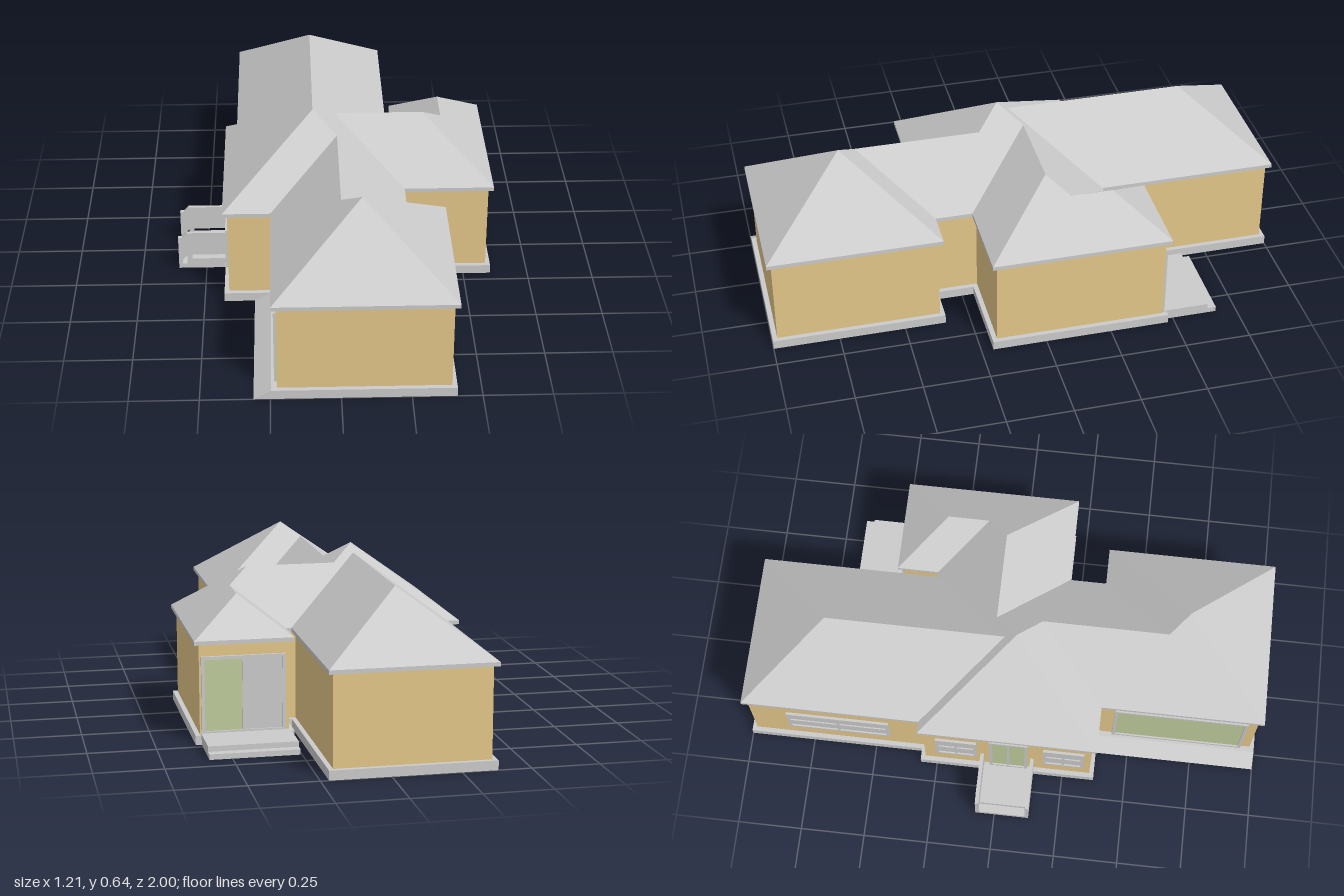
import * as THREE from 'three';

const EAVE = 0.385, PITCH = 0.737;
const mat = (color) => new THREE.MeshStandardMaterial({ color, side: THREE.DoubleSide, flatShading: true });
const grey = mat(0xcccccc), tan = mat(0xe5c88a), green = mat(0xc0cc9c);

// eave outline as [x, z], interior on the +90 degree side of each edge
const OUTLINE = [
  [-0.38, -1], [0.22, -1], [0.22, -0.315], [0.24, -0.315], [0.24, -0.475], [0.605, -0.475],
  [0.605, 0.205], [0.265, 0.205], [0.265, 0.345], [0.41, 0.345], [0.41, 1], [-0.245, 1],
  [-0.245, 0.375], [-0.425, 0.375], [-0.425, -0.315], [-0.38, -0.315],
];

// move every side of the rectilinear outline inwards by d
function inset(d) {
  const n = OUTLINE.length;
  return OUTLINE.map(([x, z], i) => {
    const [px, pz] = OUTLINE[(i + n - 1) % n], [nx, nz] = OUTLINE[(i + 1) % n];
    const ix = -Math.sign(z - pz) - Math.sign(nz - z);
    const iz = Math.sign(x - px) + Math.sign(nx - x);
    return [x + ix * d, z + iz * d];
  });
}

function mesh(name, geometry, material = grey) {
  const m = new THREE.Mesh(geometry, material);
  m.name = name;
  return m;
}

function box(name, x0, x1, y0, y1, z0, z1, material) {
  const g = new THREE.BoxGeometry(x1 - x0, y1 - y0, z1 - z0);
  g.translate((x0 + x1) / 2, (y0 + y1) / 2, (z0 + z1) / 2);
  return mesh(name, g, material);
}

const flat = (pts) => pts.map(([x, z]) => new THREE.Vector2(x, -z));
const upright = (pts) => pts.map(([x, y]) => new THREE.Vector2(x, y));

// hollow band that follows the outline
function ring(name, outer, inner, y0, y1, material) {
  const s = new THREE.Shape(flat(inset(outer)));
  s.holes.push(new THREE.Path(flat(inset(inner))));
  const g = new THREE.ExtrudeGeometry(s, { depth: y1 - y0, bevelEnabled: false });
  g.rotateX(-Math.PI / 2);
  g.translate(0, y0, 0);
  return mesh(name, g, material);
}

// roof planes: run from the eave line, then the corners as [x, z]
const P = [-0.08, 0.03], PF = [0.0825, 0.6725];
const C0 = [0.01, 0.12], C1 = [0.01, 0.6], D0 = [0.005, -0.055], D1 = [0.345, -0.055];
const E0 = [0.4225, -0.1325], E1 = [0.4225, -0.2925], A0 = [-0.08, -0.7], A1 = [-0.08, -0.015];
const ROOF = [
  [(x, z) => z + 1, [[-0.38, -1], [0.22, -1], A0]],
  [(x) => x + 0.38, [[-0.38, -1], A0, A1, [-0.38, -0.315]]],
  [(x) => 0.22 - x, [[0.22, -1], A0, A1, [0.22, -0.315]]],
  [(x, z) => z + 0.315, [[-0.425, -0.315], [-0.38, -0.315], A1, [0.22, -0.315], [0.24, -0.315], E0, D1, D0, P]],
  [(x) => x + 0.425, [[-0.425, -0.315], P, [-0.425, 0.375]]],
  [(x, z) => 0.375 - z, [[-0.425, 0.375], P, C0, [-0.245, 0.375]]],
  [(x) => 0.265 - x, [P, C0, C1, [0.265, 0.345], [0.265, 0.205], D0]],
  [(x, z) => 0.205 - z, [[0.265, 0.205], [0.605, 0.205], D1, D0]],
  [(x) => 0.605 - x, [[0.605, 0.205], [0.605, -0.475], E1, E0, D1]],
  [(x, z) => z + 0.475, [[0.24, -0.475], [0.605, -0.475], E1]],
  [(x) => x - 0.24, [[0.24, -0.475], E1, E0, [0.24, -0.315]]],
  [(x) => x + 0.245, [[-0.245, 0.375], C0, C1, PF, [-0.245, 1]]],
  [(x, z) => z - 0.345, [[0.265, 0.345], [0.41, 0.345], PF, C1]],
  [(x) => 0.41 - x, [[0.41, 0.345], [0.41, 1], PF]],
  [(x, z) => 1 - z, [[-0.245, 1], [0.41, 1], PF]],
];

function roof() {
  const pos = [];
  for (const [run, pts] of ROOF) {
    const v = pts.map(([x, z]) => new THREE.Vector2(x, z));
    for (const t of THREE.ShapeUtils.triangulateShape(v, [])) {
      // keep every triangle facing up
      if (THREE.ShapeUtils.area(t.map((i) => v[i])) > 0) t.reverse();
      for (const i of t) pos.push(v[i].x, EAVE + PITCH * run(v[i].x, v[i].y), v[i].y);
    }
  }
  const g = new THREE.BufferGeometry();
  g.setAttribute('position', new THREE.Float32BufferAttribute(pos, 3));
  g.computeVertexNormals();
  return mesh('roof', g);
}

// framed opening centred on the local origin, facing local +z
function opening(name, w, y0, y1, cols, rows, panes) {
  const g = new THREE.Group(), h = y1 - y0, f = 0.012, d = 0.012;
  g.name = name;
  const bar = (x, y, bw, bh, t) => g.add(box('frame', x - bw / 2, x + bw / 2, y - bh / 2, y + bh / 2, -t, t, grey));
  for (const s of [-1, 1]) {
    bar(s * (w - f) / 2, y0 + h / 2, f, h, d);
    bar(0, y0 + h / 2 + s * (h - f) / 2, w, f, d);
  }
  for (let i = 1; i < cols; i++) bar(-w / 2 + (w * i) / cols, y0 + h / 2, f * 0.8, h, d * 0.9);
  for (let j = 1; j < rows; j++) bar(0, y0 + (h * j) / rows, w, f * 0.8, d * 0.9);
  panes.forEach((m, i) => {
    const pw = w / panes.length, x = -w / 2 + i * pw;
    g.add(box('pane', x, x + pw, y0, y1, -0.008, 0.006, m));
  });
  return g;
}

// railing panel with its chamfered corner and floor slots
function railing(z) {
  const s = new THREE.Shape(upright([[-0.608, 0], [-0.41, 0], [-0.41, 0.158], [-0.575, 0.158], [-0.592, 0.138], [-0.608, 0.138]]));
  s.holes.push(new THREE.Path(upright([[-0.556, 0.042], [-0.426, 0.042], [-0.426, 0.06], [-0.556, 0.06]])));
  s.holes.push(new THREE.Path(upright([[-0.594, 0.02], [-0.575, 0.02], [-0.575, 0.056], [-0.594, 0.036]])));
  const g = new THREE.ExtrudeGeometry(s, { depth: 0.014, bevelEnabled: false });
  g.translate(0, 0, z);
  return mesh('porchRailing', g);
}

export function createModel() {
  const house = new THREE.Group();
  house.name = 'house';

  // shell
  house.add(ring('foundation', 0, 0.028, 0, 0.035, grey));
  house.add(ring('walls', 0.018, 0.023, 0.035, 0.37, tan));
  house.add(ring('fascia', 0, 0.028, 0.37, EAVE, grey));
  house.add(roof());

  // windows and doors on the entrance side: name, wall x, z range, y range, grid, panes
  const side = [
    ['longWindow', -0.362, -0.84, -0.44, 0.125, 0.27, 2, 2, [grey]],
    ['window', -0.407, -0.25, -0.09, 0.125, 0.285, 2, 2, [grey]],
    ['entranceDoor', -0.407, -0.04, 0.11, 0.035, 0.325, 2, 1, [green]],
    ['window', -0.407, 0.17, 0.33, 0.125, 0.285, 2, 2, [grey]],
    ['garageDoor', -0.227, 0.43, 0.945, 0.035, 0.325, 1, 1, [green]],
  ];
  for (const [name, x, z0, z1, y0, y1, c, r, panes] of side) {
    const o = opening(name, z1 - z0, y0, y1, c, r, panes);
    o.position.set(x + 0.002, 0, (z0 + z1) / 2);
    o.rotation.y = -Math.PI / 2;
    house.add(o);
  }

  // patio doors and steps at the back
  const patio = opening('patioDoors', 0.31, 0.035, 0.325, 2, 1, [green, grey]);
  patio.position.set(0.425, 0, -0.455);
  patio.rotation.y = Math.PI;
  house.add(patio);
  house.add(box('patioLanding', 0.255, 0.583, 0, 0.04, -0.638, -0.46, grey));
  house.add(box('patioStep', 0.255, 0.583, 0, 0.02, -0.672, -0.638, grey));

  // entrance porch
  house.add(box('porchFloor', -0.575, -0.41, 0, 0.036, -0.07, 0.13, grey));
  house.add(box('porchStep', -0.608, -0.575, 0, 0.018, -0.07, 0.13, grey));
  house.add(railing(-0.075), railing(0.121));

  // sloped garage apron
  const wedge = new THREE.Shape(upright([[-0.31, 0], [-0.24, 0], [-0.24, 0.035], [-0.248, 0.035]]));
  const apron = new THREE.ExtrudeGeometry(wedge, { depth: 0.625, bevelEnabled: false });
  apron.translate(0, 0, 0.375);
  house.add(mesh('garageApron', apron));

  return house;
}
